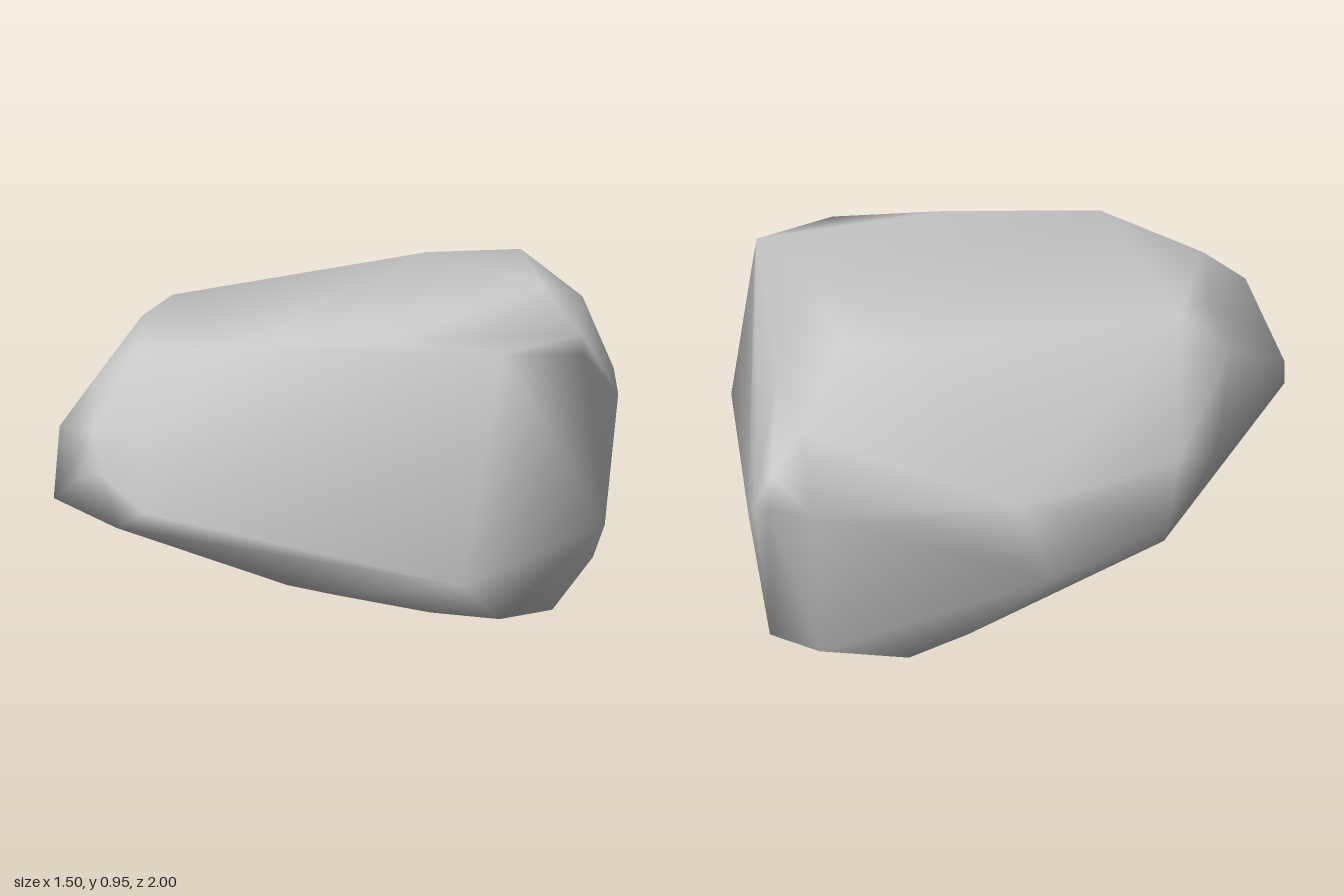
import * as THREE from 'three';
import { ConvexGeometry } from 'three/addons/geometries/ConvexGeometry.js';
import { mergeVertices } from 'three/addons/utils/BufferGeometryUtils.js';

// Corners of the boulder, grouped by region, each [x, y, z]
const crown = [
  [-0.12, 0.95, -0.64], [-0.33, 0.935, -0.47], [0.26, 0.935, -0.35], [0.07, 0.83, -0.7],
  [-0.61, 0.87, 0.27], [-0.55, 0.84, 0.45], [-0.31, 0.81, 0.71], [0.04, 0.85, 0.66],
  [0.35, 0.868, 0.33], [0.6, 0.84, 0.14], [0.63, 0.865, -0.15],
];
const nose = [
  [-0.39, 0.72, 0.8], [-0.25, 0.61, 0.94], [-0.08, 0.61, 0.92], [-0.25, 0.48, 0.99],
  [-0.15, 0.5, 1], [-0.03, 0.4, 0.95], [-0.14, 0.345, 0.955], [-0.46, 0.38, 0.89],
  [-0.6, 0.55, 0.73],
];
const leftFlank = [
  [0.65, 0.81, -0.14], [0.745, 0.33, -0.13], [0.695, 0.165, 0.12], [0.64, 0.2, 0.34],
];
const rightFlank = [
  [-0.665, 0.71, 0.43], [-0.75, 0.51, 0.1], [-0.75, 0.33, 0.06], [-0.74, 0.47, 0.28],
  [-0.67, 0.22, 0.13], [-0.67, 0.45, -0.26], [-0.64, 0.25, -0.32], [-0.6, 0.5, -0.41],
];
const tail = [
  [-0.16, 0.56, -1], [-0.11, 0.56, -1], [-0.15, 0.66, -0.975], [-0.17, 0.77, -0.87],
  [-0.04, 0.5, -0.95], [-0.25, 0.54, -0.91], [-0.4, 0.5, -0.7],
];
const base = [
  [0.1, 0, -0.59], [-0.33, 0, -0.585], [0, 0.05, -0.81], [-0.18, 0.05, -0.8],
  [0.51, 0.05, 0.06], [0.51, 0.05, -0.15], [0.45, 0.09, 0.28], [0.26, 0.14, 0.47],
  [-0.41, 0.04, -0.42], [-0.4, 0.05, -0.05], [-0.1, 0.1, 0.31],
];

export function createModel() {
  const group = new THREE.Group();
  group.name = 'rock';

  // Closed boulder skin, shaded smoothly across its facets
  const points = [...crown, ...nose, ...leftFlank, ...rightFlank, ...tail, ...base]
    .map((p) => new THREE.Vector3(...p));
  const hull = new ConvexGeometry(points);
  hull.deleteAttribute('normal');
  const geometry = mergeVertices(hull, 1e-4);
  geometry.computeVertexNormals();

  const boulder = new THREE.Mesh(geometry, new THREE.MeshStandardMaterial({ color: 0xcccccc }));
  boulder.name = 'boulder';
  group.add(boulder);
  return group;
}
